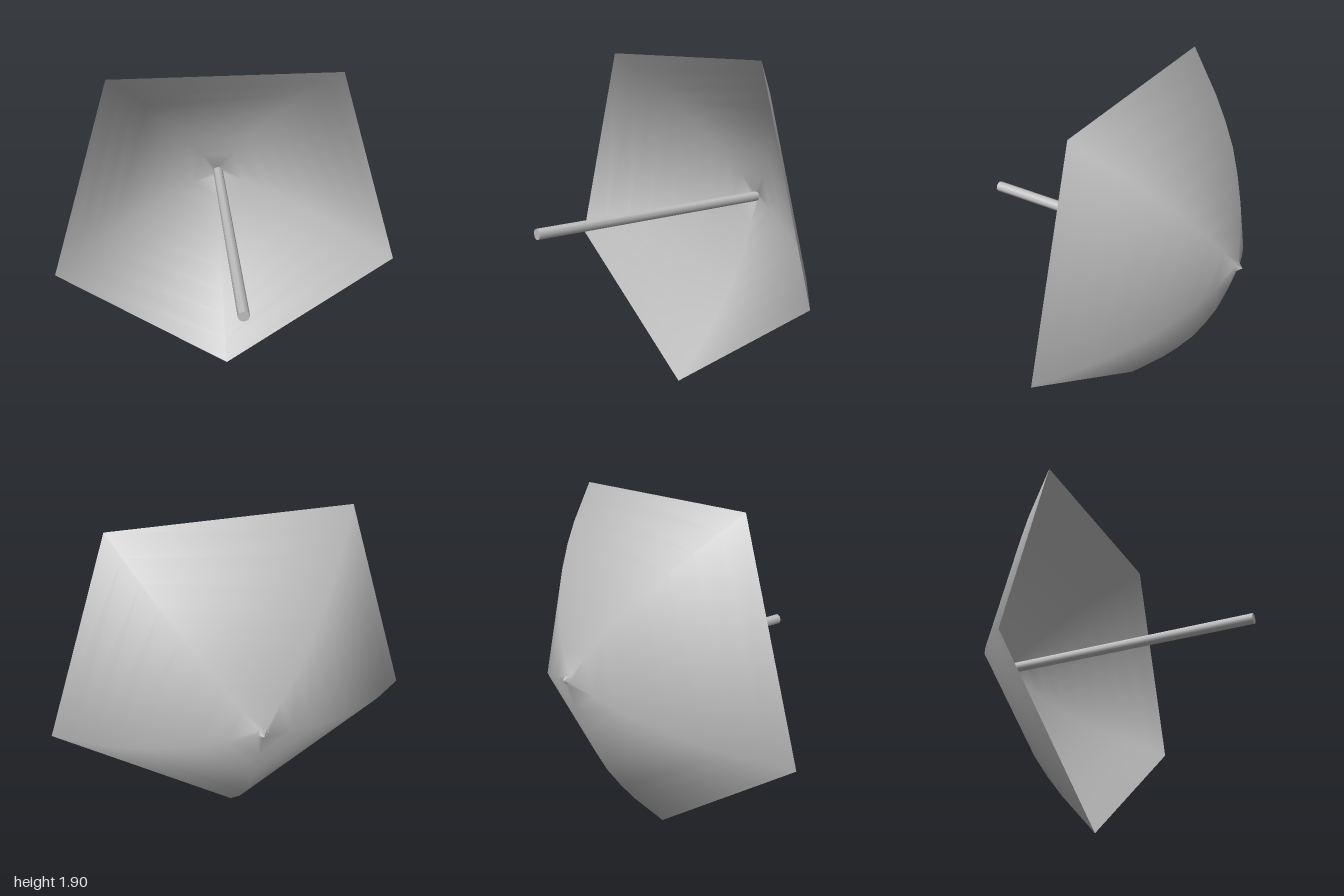
import * as THREE from 'three';

export function createModel() {
  const group = new THREE.Group();
  const axisHeight = 1.05;
  const grey = new THREE.MeshStandardMaterial({ color: 0xc0c0c0, side: THREE.DoubleSide });
  grey.name = 'plain grey';

  // Add a part made along y, laid down so that its +y end points backwards
  function addPart(name, geometry) {
    geometry.rotateX(-Math.PI / 2);
    const mesh = new THREE.Mesh(geometry, grey);
    mesh.name = name;
    mesh.position.y = axisHeight;
    group.add(mesh);
  }

  // Five-sided canopy: rib profile from rim to pointed tip (radius, depth)
  const rib = [
    [1.05, 0.145], [0.94, 0.245], [0.83, 0.345], [0.71, 0.44], [0.58, 0.53],
    [0.45, 0.6], [0.32, 0.66], [0.17, 0.71], [0.03, 0.75], [0, 0.78],
  ].map(([r, d]) => new THREE.Vector2(r, d));
  addPart('canopy', new THREE.LatheGeometry(rib, 5, Math.PI));

  // Straight shaft from the handle end to just inside the tip
  const front = -0.78, back = 0.75;
  const shaft = new THREE.CylinderGeometry(0.03, 0.03, back - front, 8);
  shaft.translate(0, (front + back) / 2, 0);
  addPart('shaft', shaft);

  return group;
}
